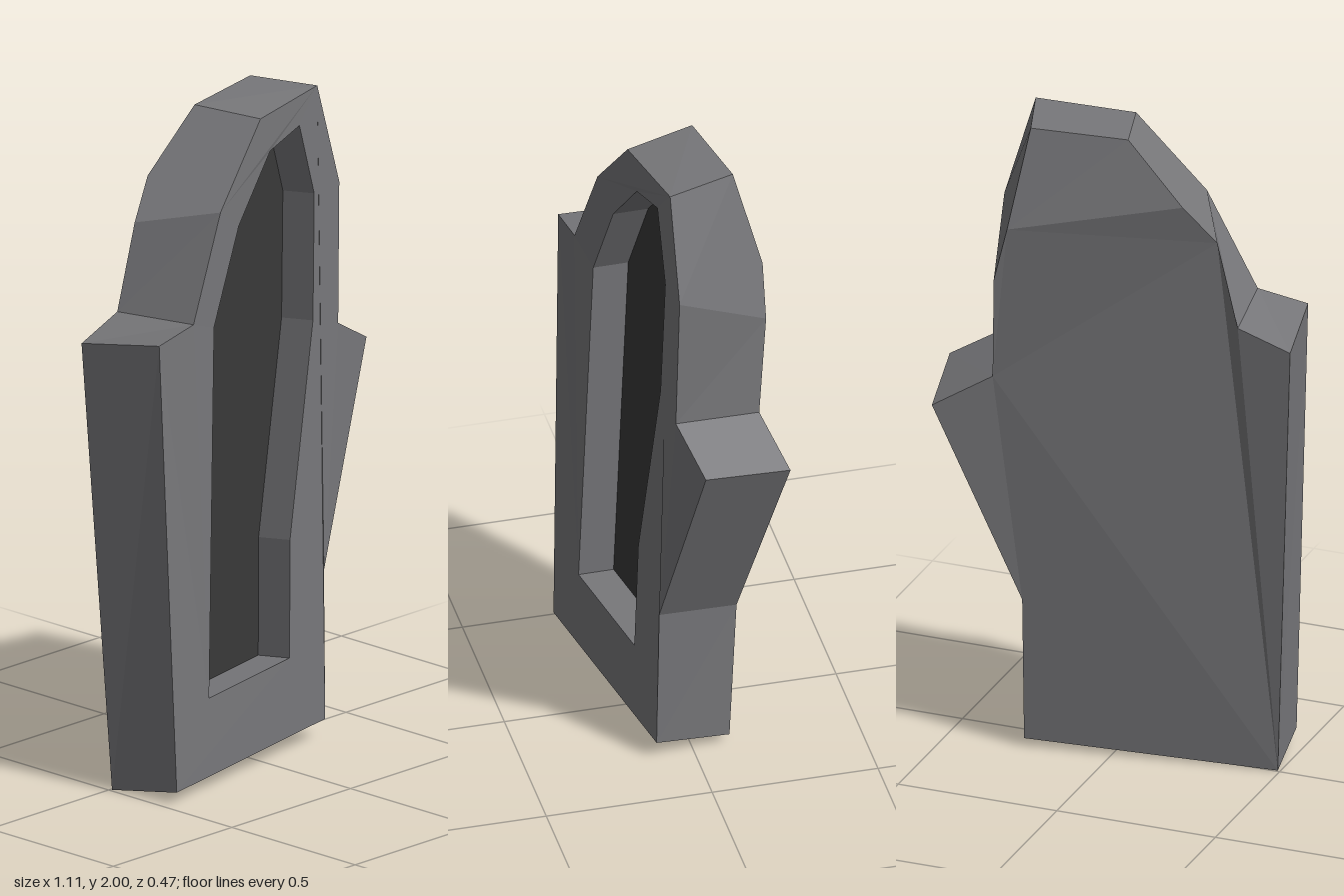
import * as THREE from 'three';

const V = (p) => new THREE.Vector3(...p);

// Flat-faced geometry from a list of triangles (each three Vector3)
function facetGeometry(tris) {
  const solid = tris.filter(([a, b, c]) =>
    b.clone().sub(a).cross(c.clone().sub(a)).length() > 1e-7);
  const g = new THREE.BufferGeometry().setFromPoints(solid.flat());
  g.computeVertexNormals();
  return g;
}

// Fill an outline (with optional hole), facing +z or -z
function cap(outline, hole, facing) {
  const flat = (l) => l.map((p) => new THREE.Vector2(p.x, p.y));
  const all = [...outline, ...hole];
  const faces = THREE.ShapeUtils.triangulateShape(flat(outline), hole.length ? [flat(hole)] : []);
  return faces.map((f) => {
    const [a, b, c] = f.map((i) => all[i]);
    const turn = (b.x - a.x) * (c.y - a.y) - (b.y - a.y) * (c.x - a.x);
    return turn * facing > 0 ? [a, b, c] : [a, c, b];
  });
}

// Band of faces between two matching loops, seen from outside
function band(front, back) {
  return front.flatMap((a, i) => {
    const j = (i + 1) % front.length;
    return [[a, back[i], back[j]], [a, back[j], front[j]]];
  });
}

export function createModel() {
  const stone = new THREE.MeshStandardMaterial({ color: 0x77777a });
  stone.name = 'grey shell';
  const dark = new THREE.MeshStandardMaterial({ color: 0x383838 });
  dark.name = 'dark panel';
  const group = new THREE.Group();
  const add = (name, tris, material) => {
    const mesh = new THREE.Mesh(facetGeometry(tris), material);
    mesh.name = name;
    group.add(mesh);
  };

  // Front outline, counter-clockwise from the lower right-hand corner
  const front = [
    [-0.458, 0.04, 0.236], [0.293, 0.06, 0.115], [0.295, 0.515, 0.108],
    [0.553, 1.155, 0.032], [0.384, 1.25, 0.08], [0.397, 1.68, 0.072],
    [0.3, 2, 0.076], [0.005, 1.98, 0.13], [-0.203, 1.75, 0.168],
    [-0.35, 1.447, 0.2], [-0.505, 1.42, 0.21],
  ].map(V);

  // Back outline, with two extra corners around the head
  const back = [
    [-0.492, 0.004, 0.006], [0.26, 0.03, -0.113], [0.257, 0.485, -0.135],
    [0.501, 1.11, -0.236], [0.33, 1.21, -0.185], [0.317, 1.53, -0.209],
    [0.275, 1.7, -0.209], [0.232, 2, -0.13], [-0.055, 1.99, -0.08],
    [-0.234, 1.81, -0.098], [-0.328, 1.697, -0.06], [-0.395, 1.437, -0.066],
    [-0.556, 1.38, -0.056],
  ].map(V);

  // Recess rim lies on the leaning front plane; its floor is set back
  const rim = [
    [-0.288, 0.283], [0.119, 0.294], [0.13, 0.653], [0.262, 1.29], [0.278, 1.675],
    [0.209, 1.902], [0.06, 1.865], [-0.103, 1.68], [-0.235, 1.405],
  ].map(([x, y]) => V([x, y, 0.163 - 0.16 * x - 0.02 * y]));
  const inset = V([-0.018, -0.012, -0.11]);
  const floor = rim.map((p) => p.clone().add(inset));

  add('frontFrame', cap(front, rim, 1), stone);

  // Two front corners each fan out to two back corners
  const matched = [0, 1, 2, 3, 4, 5, 5, 6, 7, 8, 8, 9, 10].map((i) => front[i]);
  add('sides', band(matched, back), stone);

  // Back, creased where the head slopes forward
  add('backPanel', cap([...back.slice(0, 7), ...back.slice(9)], [], -1), stone);
  add('headSlope', cap(back.slice(6, 10), [], -1), stone);

  add('recessWalls', band(floor, rim), stone);
  add('recessFloor', cap(floor, [], 1), dark);

  return group;
}
